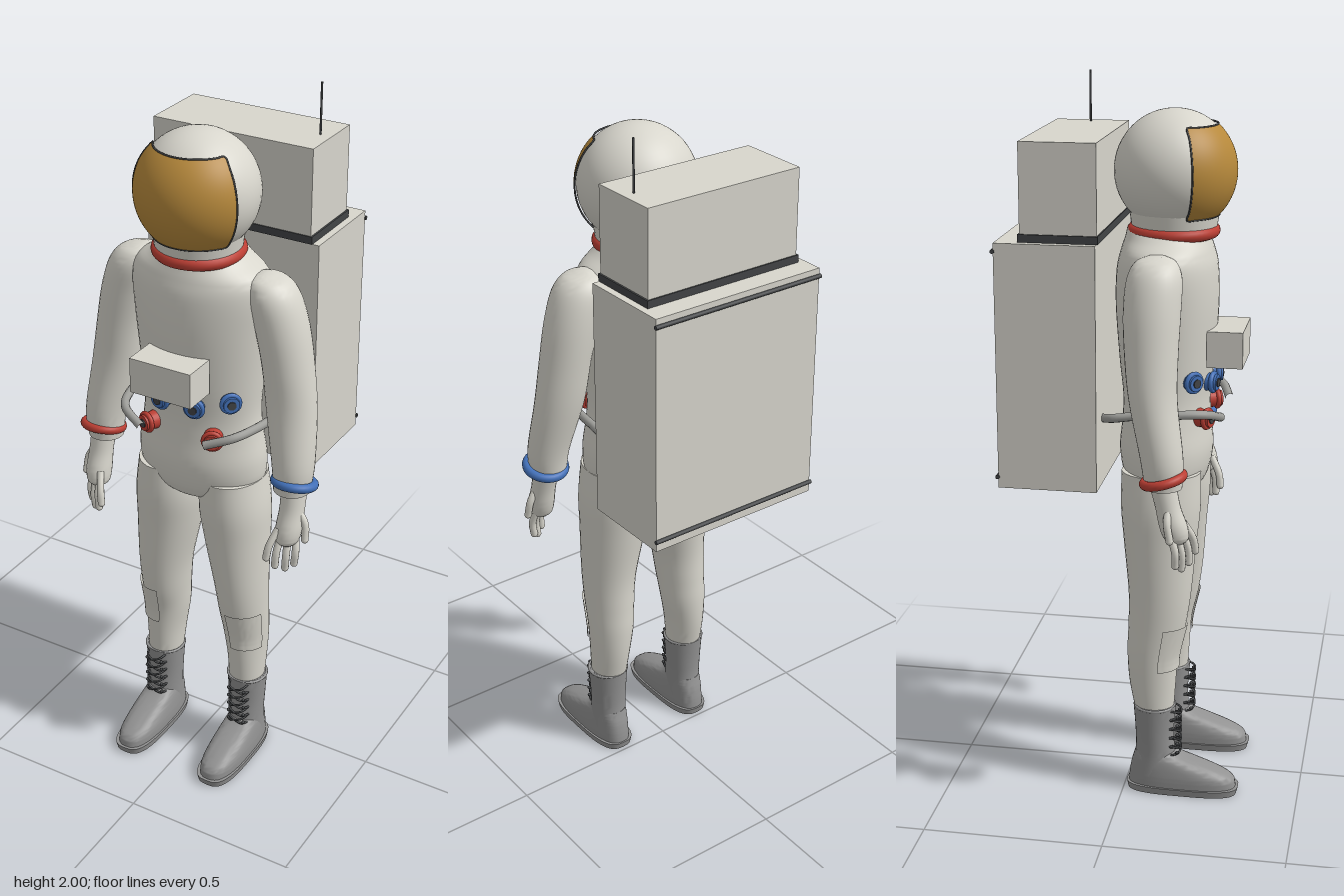
import * as THREE from 'three';
import { toCreasedNormals } from 'three/addons/utils/BufferGeometryUtils.js';

const mat = (name, color) => Object.assign(new THREE.MeshStandardMaterial({ color }), { name });
const V = (p) => new THREE.Vector3(...p);

// Stacks horizontal rings [x, y, z, rx, rz] from bottom to top, smoothed by a spline.
function loft(keys, { steps = 5, sides = 32, power = 1, from = 0, to = 360 } = {}) {
  const closed = to - from === 360;
  const centres = new THREE.CatmullRomCurve3(keys.map((k) => V(k.slice(0, 3))), false, 'catmullrom');
  const radii = new THREE.CatmullRomCurve3(keys.map((k) => V([k[3], k[4], 0])), false, 'catmullrom');
  const rows = (keys.length - 1) * steps;
  const cols = closed ? sides : sides + 1;
  const pos = [], index = [];
  const bend = (v) => Math.sign(v) * Math.abs(v) ** power;
  for (let i = 0; i <= rows; i++) {
    const c = centres.getPoint(i / rows), r = radii.getPoint(i / rows);
    for (let j = 0; j < cols; j++) {
      const a = THREE.MathUtils.degToRad(from + ((to - from) * j) / sides);
      pos.push(c.x + r.x * bend(Math.cos(a)), c.y, c.z + r.y * bend(Math.sin(a)));
    }
  }
  for (let i = 0; i < rows; i++) for (let j = 0; j < sides; j++) {
    const a = i * cols + j, b = i * cols + ((j + 1) % cols);
    index.push(a, a + cols, b, b, a + cols, b + cols);
  }
  if (closed) {
    const base = pos.length / 3, top = rows * cols;
    pos.push(...keys[0].slice(0, 3), ...keys[keys.length - 1].slice(0, 3));
    for (let j = 0; j < sides; j++) {
      const k = (j + 1) % cols;
      index.push(base, j, k, base + 1, top + k, top + j);
    }
  }
  const g = new THREE.BufferGeometry();
  g.setAttribute('position', new THREE.Float32BufferAttribute(pos, 3));
  g.setIndex(index);
  return toCreasedNormals(g, 0.9);
}

const tube = (pts, r, closed = false, seg = 24) =>
  new THREE.TubeGeometry(new THREE.CatmullRomCurve3(pts.map(V), closed), seg, r, 10, closed);

export function createModel() {
  const model = new THREE.Group();
  model.name = 'astronaut';
  const suit = mat('suit white', 0xd8d6cd);
  suit.side = THREE.DoubleSide;
  const boot = mat('boot grey', 0x929292);
  const gold = mat('visor gold', 0xb88a3c);
  const red = mat('fitting red', 0xbd3f34);
  const blue = mat('fitting blue', 0x4270b8);
  const dark = mat('dark trim', 0x424446);
  const metal = mat('hose grey', 0x9d9d99);

  const add = (name, geo, m, p = [0, 0, 0], parent = model) => {
    const mesh = new THREE.Mesh(geo, m);
    mesh.name = name;
    mesh.position.set(...p);
    parent.add(mesh);
    return mesh;
  };
  const box = (name, m, x, y, z) => add(name,
    new THREE.BoxGeometry(x[1] - x[0], y[1] - y[0], z[1] - z[0]), m,
    [(x[0] + x[1]) / 2, (y[0] + y[1]) / 2, (z[0] + z[1]) / 2]);

  // Torso
  const T = (y, rx, rz) => [0, y, 0.095, rx, rz];
  add('torso', loft([T(0.87, 0.05, 0.05), T(0.89, 0.12, 0.095), T(0.93, 0.18, 0.118), T(1.0, 0.19, 0.129),
    T(1.08, 0.178, 0.122), T(1.15, 0.171, 0.12), T(1.25, 0.178, 0.13), T(1.4, 0.192, 0.14),
    T(1.5, 0.2, 0.137), T(1.55, 0.188, 0.126), T(1.585, 0.14, 0.115), T(1.61, 0.11, 0.11)], { sides: 48 }), suit);

  // Helmet, collar and visor
  const head = [0, 1.762, 0.112];
  add('helmet', new THREE.SphereGeometry(0.163, 48, 32), suit, head);
  add('helmetNeck', new THREE.CylinderGeometry(0.122, 0.115, 0.05, 40), suit, [0, 1.633, 0.112]);
  add('collar', new THREE.TorusGeometry(0.108, 0.018, 14, 48).rotateX(Math.PI / 2), red, [0, 1.602, 0.11]);
  const R = 0.168, half = 1.15, t0 = 0.745, t1 = 2.34;
  add('visor', new THREE.SphereGeometry(R, 40, 24, Math.PI / 2 - half, half * 2, t0, t1 - t0), gold, head);
  const onVisor = (a, t) => [R * Math.sin(a) * Math.sin(t), R * Math.cos(t), R * Math.cos(a) * Math.sin(t)];
  const rim = [];
  for (let i = 0; i < 12; i++) rim.push(onVisor(-half + (half * 2 * i) / 12, t0));
  for (let i = 0; i < 8; i++) rim.push(onVisor(half, t0 + ((t1 - t0) * i) / 8));
  for (let i = 0; i < 12; i++) rim.push(onVisor(half - (half * 2 * i) / 12, t1));
  for (let i = 0; i < 8; i++) rim.push(onVisor(-half, t1 - ((t1 - t0) * i) / 8));
  add('visorRim', tube(rim, 0.0025, true, 120), dark, head);

  // Life support pack
  box('mainPack', suit, [-0.263, 0.263], [0.93, 1.6], [-0.325, -0.055]);
  box('upperPackRim', dark, [-0.243, 0.243], [1.6, 1.621], [-0.264, -0.052]);
  box('upperPack', suit, [-0.238, 0.238], [1.621, 1.86], [-0.26, -0.055]);
  for (const y of [0.96, 1.578])
    add('packRail', new THREE.CylinderGeometry(0.006, 0.006, 0.532, 10).rotateZ(Math.PI / 2), dark, [0, y, -0.327]);
  add('antenna', new THREE.CylinderGeometry(0.003, 0.003, 0.145, 8), dark, [0.205, 1.9275, -0.157]);

  // Chest unit
  box('chestUnit', suit, [-0.092, 0.092], [1.245, 1.345], [0.215, 0.313]);

  // Valve fitting with a ring and a dark centre, pointing outwards
  const fitting = (name, m, x, y, z, turn) => {
    const g = new THREE.Group();
    g.name = name;
    g.position.set(x, y, z);
    g.rotation.y = turn;
    model.add(g);
    add('fittingBody', new THREE.CylinderGeometry(0.022, 0.027, 0.05, 20).rotateX(Math.PI / 2), m, [0, 0, 0], g);
    add('fittingRing', new THREE.TorusGeometry(0.024, 0.007, 10, 24), m, [0, 0, 0.012], g);
    add('fittingCentre', new THREE.CylinderGeometry(0.012, 0.012, 0.006, 16).rotateX(Math.PI / 2), dark, [0, 0, 0.025], g);
  };

  for (const s of [-1, 1]) {
    const side = s > 0 ? 'left' : 'right';
    const mir = (keys) => keys.map(([x, ...rest]) => [x * s, ...rest]);

    fitting(side + 'OuterValve', blue, s * 0.133, 1.215, 0.18, s * 0.75);
    fitting(side + 'InnerValve', blue, s * 0.05, 1.195, 0.218, s * 0.2);
    fitting(side + 'LowerValve', red, s * 0.098, 1.105, 0.21, s * 0.4);
    add(side + 'Hose', tube(mir([[0.098, 1.11, 0.258], [0.168, 1.135, 0.225], [0.2, 1.14, 0.15],
      [0.212, 1.135, 0.04], [0.208, 1.125, -0.02], [0.16, 1.11, -0.06]]), 0.012, false, 40), metal);

    // Arm with wrist ring
    add(side + 'Arm', loft(mir([[0.298, 0.97, 0.132, 0.05, 0.05], [0.298, 1.05, 0.127, 0.059, 0.057],
      [0.275, 1.2, 0.1, 0.07, 0.064], [0.258, 1.32, 0.092, 0.07, 0.071], [0.236, 1.43, 0.09, 0.072, 0.076],
      [0.212, 1.51, 0.092, 0.07, 0.073], [0.197, 1.55, 0.093, 0.054, 0.055], [0.188, 1.565, 0.094, 0.02, 0.025]])), suit);
    const ring = add(side + 'WristRing', new THREE.TorusGeometry(0.053, 0.013, 12, 36).rotateX(Math.PI / 2),
      s > 0 ? blue : red, [s * 0.306, 0.995, 0.133]);
    ring.rotation.x = -0.25;

    // Hand: palm, four fingers and a thumb
    add(side + 'Palm', loft(mir([[0.306, 0.82, 0.17, 0.02, 0.02], [0.306, 0.835, 0.168, 0.033, 0.034],
      [0.308, 0.87, 0.16, 0.037, 0.038], [0.308, 0.92, 0.146, 0.035, 0.034], [0.306, 0.98, 0.132, 0.036, 0.036]]), { sides: 20 }), suit);
    const fingers = [
      [[0.288, 0.87, 0.185], [0.273, 0.82, 0.21], [0.268, 0.785, 0.215]],
      [[0.296, 0.86, 0.175], [0.29, 0.8, 0.198], [0.287, 0.758, 0.2]],
      [[0.31, 0.85, 0.168], [0.313, 0.79, 0.185], [0.31, 0.748, 0.184]],
      [[0.325, 0.85, 0.155], [0.334, 0.8, 0.17], [0.33, 0.762, 0.17]],
      [[0.325, 0.925, 0.15], [0.35, 0.885, 0.15], [0.355, 0.84, 0.158]],
    ];
    fingers.forEach((f, i) => {
      const name = side + (i < 4 ? 'Finger' : 'Thumb'), pts = mir(f);
      add(name, tube(pts, 0.0105, false, 10), suit);
      add(name + 'Tip', new THREE.SphereGeometry(0.0105, 10, 8), suit, pts[2]);
    });

    // Leg with raised knee panel
    add(side + 'Leg', loft(mir([[0.14, 0.23, 0.087, 0.05, 0.053], [0.138, 0.33, 0.08, 0.056, 0.066],
      [0.133, 0.42, 0.08, 0.065, 0.073], [0.13, 0.5, 0.09, 0.07, 0.081], [0.125, 0.6, 0.097, 0.077, 0.088],
      [0.11, 0.75, 0.095, 0.093, 0.102], [0.103, 0.85, 0.095, 0.099, 0.111], [0.1, 0.95, 0.095, 0.088, 0.11]])), suit);
    add(side + 'KneePanel', loft(mir([[0.1355, 0.38, 0.08, 0.066, 0.075], [0.133, 0.42, 0.08, 0.07, 0.078],
      [0.13, 0.51, 0.091, 0.076, 0.087]]), { sides: 14, from: s > 0 ? 18 : 78, to: s > 0 ? 102 : 162 }), suit);

    // Boot: sole, foot, shaft, cuff and laces
    const B = (y, back, front, rx) => [s * 0.142, y, (back + front) / 2, rx, (front - back) / 2];
    add(side + 'Sole', loft([B(0, 0.012, 0.325, 0.057), B(0.02, 0.008, 0.33, 0.06)], { steps: 1, power: 0.65, sides: 40 }), boot);
    add(side + 'Foot', loft([B(0.02, 0.013, 0.322, 0.055), B(0.045, 0.015, 0.315, 0.055), B(0.065, 0.018, 0.28, 0.053),
      B(0.085, 0.022, 0.225, 0.05), B(0.105, 0.028, 0.165, 0.046), B(0.12, 0.032, 0.14, 0.04)], { power: 0.75, sides: 40 }), boot);
    add(side + 'BootShaft', loft([B(0.05, 0.02, 0.15, 0.05), B(0.12, 0.032, 0.145, 0.05),
      B(0.18, 0.032, 0.142, 0.053), B(0.262, 0.026, 0.148, 0.058)]), boot);
    add(side + 'BootCuff', new THREE.TorusGeometry(0.057, 0.004, 8, 36).rotateX(Math.PI / 2), boot, [s * 0.142, 0.26, 0.087]);
    for (let i = 0; i < 5; i++) {
      const y = 0.112 + i * 0.028;
      for (const d of [-1, 1]) {
        const x = s * 0.142;
        add(side + 'Lace', tube([[x - d * 0.03, y, 0.133], [x - d * 0.02, y + 0.006, 0.158],
          [x, y + 0.014, 0.162], [x + d * 0.02, y + 0.022, 0.158], [x + d * 0.03, y + 0.028, 0.133]], 0.003, false, 14), dark);
        add(side + 'LaceHook', new THREE.SphereGeometry(0.005, 8, 6), dark, [x + d * 0.025, y + 0.01, 0.155]);
      }
    }
  }
  return model;
}
